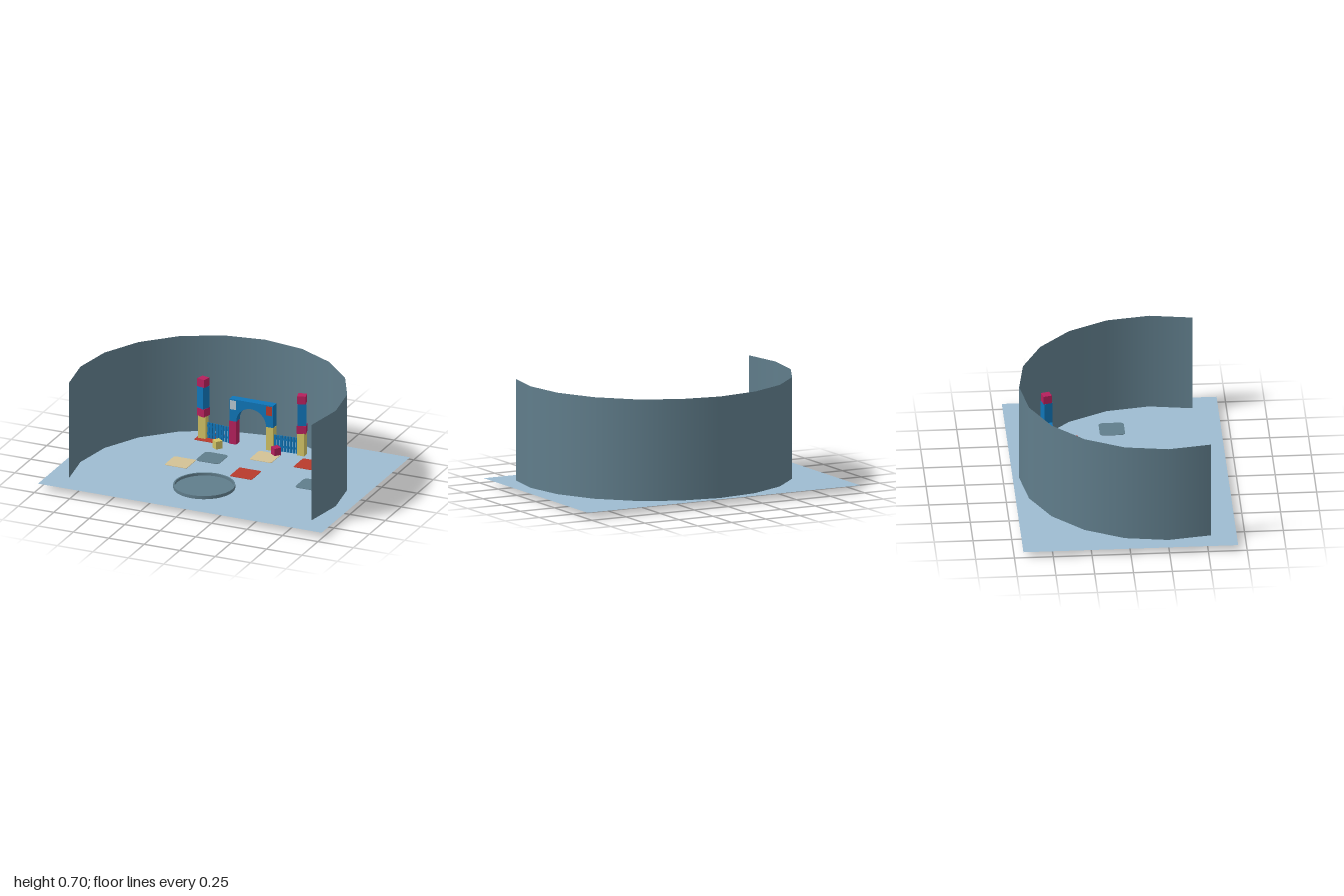
import * as THREE from 'three';

const mat = (name, color, side = THREE.FrontSide) => {
  const m = new THREE.MeshStandardMaterial({ color, side });
  m.name = name;
  return m;
};

export function createModel() {
  const root = new THREE.Group();
  root.name = 'courtyard';
  const M = {
    ground: mat('pale blue ground', 0x9dbbd0, THREE.DoubleSide),
    slate: mat('slate', 0x607d8b, THREE.DoubleSide),
    blue: mat('blue', 0x0f75b8),
    magenta: mat('magenta', 0xb5205c),
    yellow: mat('yellow', 0xd0c264),
    red: mat('red', 0xb83a2b),
    tan: mat('tan', 0xd3c295),
    pale: mat('pale grey', 0xb8c6d0),
  };
  const G = 0.04; // ground level
  const FOOT = G - 0.002; // parts sink slightly into the ground

  const add = (name, geo, material, parent = root) => {
    const mesh = new THREE.Mesh(geo, material);
    mesh.name = name;
    parent.add(mesh);
    return mesh;
  };
  // box given by its centre in plan and its bottom and top heights
  const block = (name, w, d, y0, y1, x, z, material, turn = 0, parent = root) => {
    const m = add(name, new THREE.BoxGeometry(w, y1 - y0, d), material, parent);
    m.position.set(x, (y0 + y1) / 2, z);
    m.rotation.y = turn;
    return m;
  };

  // ground sheet
  const ground = add('ground', new THREE.PlaneGeometry(2, 1.384), M.ground);
  ground.rotation.x = -Math.PI / 2;
  ground.position.y = G;

  // curved backdrop, open to the front
  const wall = add('backWall', new THREE.CylinderGeometry(
    0.9, 0.9, 0.666, 12, 1, true, Math.PI * 0.4, Math.PI * 1.2), M.slate);
  wall.position.set(0, 0.371, 0.25);

  // shallow round basin: rim, walls and floor
  const basin = new THREE.Group();
  basin.name = 'basin';
  basin.position.set(0, 0, 0.31);
  root.add(basin);
  add('basinOuterWall', new THREE.CylinderGeometry(0.2, 0.2, 0.062, 32, 1, true), M.slate, basin).position.y = 0.031;
  add('basinInnerWall', new THREE.CylinderGeometry(0.19, 0.19, 0.062, 32, 1, true), M.slate, basin).position.y = 0.031;
  for (const y of [0, 0.062]) {
    const rim = add('basinRim', new THREE.RingGeometry(0.19, 0.2, 32), M.slate, basin);
    rim.rotation.x = -Math.PI / 2;
    rim.position.y = y;
  }
  const floor = add('basinFloor', new THREE.CircleGeometry(0.19, 32), M.slate, basin);
  floor.rotation.x = -Math.PI / 2;
  floor.position.y = G + 0.004;

  // paving tiles with rounded corners
  const tile = (name, x, z, size, r, material) => {
    const h = size / 2;
    const s = new THREE.Shape();
    s.moveTo(-h + r, -h);
    s.absarc(h - r, -h + r, r, -Math.PI / 2, 0);
    s.absarc(h - r, h - r, r, 0, Math.PI / 2);
    s.absarc(-h + r, h - r, r, Math.PI / 2, Math.PI);
    s.absarc(-h + r, -h + r, r, Math.PI, Math.PI * 1.5);
    const m = add(name, new THREE.ExtrudeGeometry(s, { depth: 0.005, bevelEnabled: false, curveSegments: 4 }), material);
    m.rotation.x = -Math.PI / 2;
    m.position.set(x, FOOT, z);
  };
  for (const [x, z] of [[-0.31, -0.467], [0.46, -0.312], [0.15, -0.005]]) tile('redTile', x, z, 0.155, 0.01, M.red);
  for (const [x, z] of [[0.15, -0.312], [-0.31, -0.005]]) tile('tanTile', x, z, 0.155, 0.01, M.tan);
  for (const [x, z] of [[-0.155, -0.157], [0.61, -0.01]]) tile('slateTile', x, z, 0.163, 0.027, M.slate);

  // gate: arched lintel on two legs
  const gate = new THREE.Group();
  gate.name = 'gate';
  root.add(gate);
  const arch = new THREE.Shape();
  arch.moveTo(-0.154, 0.2);
  arch.lineTo(-0.105, 0.2);
  arch.absarc(0, 0.2, 0.105, Math.PI, 0, true);
  arch.lineTo(0.154, 0.2);
  arch.lineTo(0.154, 0.352);
  arch.lineTo(-0.154, 0.352);
  add('gateArch', new THREE.ExtrudeGeometry(arch, { depth: 0.055, bevelEnabled: false, curveSegments: 16 }),
    M.blue, gate).position.z = -0.48;
  block('gateRightLeg', 0.049, 0.055, FOOT, 0.2, -0.13, -0.4525, M.magenta, 0, gate);
  block('gateLeftLeg', 0.049, 0.055, FOOT, 0.2, 0.13, -0.4525, M.yellow, 0, gate);
  block('paleWindow', 0.042, 0.004, 0.282, 0.344, -0.126, -0.4245, M.pale, 0, gate);
  block('redWindow', 0.042, 0.004, 0.282, 0.344, 0.126, -0.4245, M.red, 0, gate);

  for (const s of [-1, 1]) {
    // tower of stacked blocks
    const tower = new THREE.Group();
    tower.name = s < 0 ? 'rightTower' : 'leftTower';
    tower.position.set(s * 0.348, 0, -0.45);
    root.add(tower);
    block('towerFoot', 0.05, 0.05, FOOT, 0.2, 0, 0, M.yellow, 0, tower);
    block('towerBand', 0.06, 0.06, 0.195, 0.25, 0, 0, M.magenta, s * 0.26, tower);
    block('towerShaft', 0.056, 0.056, 0.25, 0.4, 0, 0, M.blue, s * 0.4, tower);
    block('towerCap', 0.056, 0.056, 0.4, 0.455, 0, 0, M.magenta, s * 0.26, tower);

    // picket fence from gate to tower
    const fence = new THREE.Group();
    fence.name = s < 0 ? 'rightFence' : 'leftFence';
    fence.position.set(s * 0.238, 0, -0.444);
    fence.rotation.y = s * 0.09;
    root.add(fence);
    for (let i = 0; i < 8; i++) {
      block('picket', 0.015, 0.007, FOOT, 0.15, (i - 3.5) * 0.021, 0, M.blue, 0, fence);
    }
    for (const y of [0.065, 0.118]) block('fenceRail', 0.175, 0.004, y, y + 0.014, 0, -0.003, M.blue, 0, fence);
  }

  // loose cubes
  block('yellowCube', 0.05, 0.048, FOOT, 0.093, -0.195, -0.33, M.yellow, -0.66);
  block('magentaCube', 0.05, 0.048, FOOT, 0.093, 0.196, -0.38, M.magenta, -0.64);

  return root;
}
